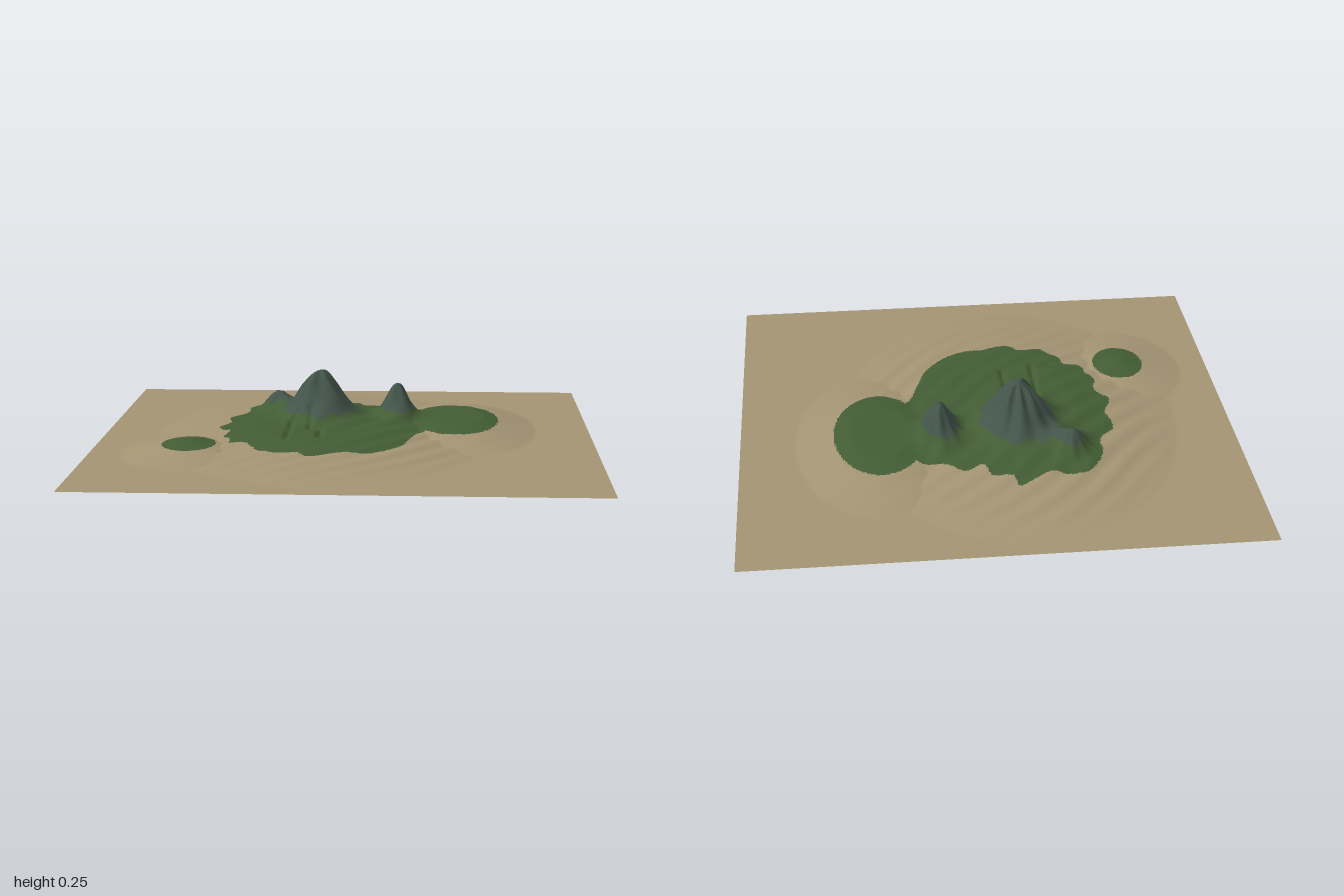
import * as THREE from 'three';

const SEGMENTS = 250;

// Island shelves: centre, foot radii, slope height, cap height
const shelves = [
  { x: -0.1, z: -0.02, rx: 0.68, rz: 0.91, slope: 0.09, cap: 0.054, ripple: 1 },
  { x: 0.44, z: -0.17, rx: 0.34, rz: 0.55, slope: 0.085, cap: 0.055, ripple: 0.25 },
  { x: -0.61, z: 0.33, rx: 0.27, rz: 0.33, slope: 0.055, cap: 0.05, ripple: 0 },
];

// Peaks: centre, height above the shelf, spread
const peaks = [
  { x: -0.12, z: -0.16, h: 0.188, sx: 0.078, sz: 0.105 },
  { x: 0.205, z: -0.2, h: 0.138, sx: 0.044, sz: 0.072 },
  { x: -0.31, z: -0.35, h: 0.072, sx: 0.048, sz: 0.056 },
];

// Stream beds cut into the grass
const streams = [
  [[-0.2, -0.03], [-0.225, 0.02], [-0.23, 0.32], [-0.31, 0.33]],
  [[-0.15, -0.02], [-0.145, 0.13], [-0.1, 0.135], [-0.1, 0.27]],
];

// Wavy outline of the main grass area
const outline = new THREE.CatmullRomCurve3([
  [-0.08, -0.59], [-0.06, -0.53], [0.02, -0.51], [0.05, -0.44], [0.12, -0.47], [0.2, -0.41],
  [0.28, -0.4], [0.36, -0.3], [0.36, 0], [0.3, 0.1], [0.26, 0.22], [0.22, 0.34],
  [0.1, 0.47], [-0.03, 0.49], [-0.13, 0.53], [-0.19, 0.48], [-0.28, 0.48], [-0.36, 0.39],
  [-0.38, 0.33], [-0.45, 0.31], [-0.46, 0.24], [-0.49, 0.2], [-0.47, 0.1], [-0.525, 0.03],
  [-0.49, -0.08], [-0.505, -0.2], [-0.44, -0.28], [-0.43, -0.4], [-0.35, -0.52],
  [-0.28, -0.53], [-0.22, -0.51], [-0.15, -0.55],
].map(([x, z]) => new THREE.Vector3(x, 0, z)), true).getPoints(160);

function insideOutline(x, z) {
  let inside = false;
  for (let i = 0, j = outline.length - 1; i < outline.length; j = i++) {
    const a = outline[i], b = outline[j];
    if ((a.z > z) !== (b.z > z) && x < ((b.x - a.x) * (z - a.z)) / (b.z - a.z) + a.x) inside = !inside;
  }
  return inside;
}

const insideEllipse = (x, z, cx, cz, rx, rz) => ((x - cx) / rx) ** 2 + ((z - cz) / rz) ** 2 < 1;

function isGrass(x, z) {
  return insideEllipse(x, z, -0.61, 0.33, 0.106, 0.132)
    || insideEllipse(x, z, 0.44, -0.17, 0.185, 0.302)
    || insideOutline(x, z);
}

function streamDistance(x, z) {
  let best = 1;
  for (const path of streams) {
    for (let i = 1; i < path.length; i++) {
      const [ax, az] = path[i - 1], [bx, bz] = path[i];
      const dx = bx - ax, dz = bz - az;
      const t = THREE.MathUtils.clamp(((x - ax) * dx + (z - az) * dz) / (dx * dx + dz * dz), 0, 1);
      best = Math.min(best, Math.hypot(x - ax - dx * t, z - az - dz * t));
    }
  }
  return best;
}

function height(x, z) {
  let ground = 0;
  let ripple = 0;
  for (const s of shelves) {
    const d = Math.hypot((x - s.x) / s.rx, (z - s.z) / s.rz);
    const raw = s.slope * (1 - d);
    const h = raw < s.cap ? raw : s.cap + (raw - s.cap) * 0.08;
    if (h > ground) {
      ground = h;
      ripple = s.ripple;
    }
  }
  if (ground <= 0) return 0;

  // Diagonal sand ripples, bent slightly
  const wave = Math.sin(44 * (x + z) + 2 * Math.sin(4 * (x - z)));
  let y = ground + 0.0032 * wave * ripple * Math.min(1, ground / 0.02);

  // Peaks with shallow ravines down their sides
  for (const p of peaks) {
    const dx = x - p.x, dz = z - p.z;
    const g = Math.exp(-0.5 * ((dx / p.sx) ** 2 + (dz / p.sz) ** 2));
    const away = Math.min(1, Math.hypot(dx, dz) / 0.08);
    const ravine = 0.11 * away * Math.sin(7 * Math.atan2(dz, dx) + 30 * dx);
    y += p.h * g * (1 + ravine);
  }
  y -= 0.012 * Math.exp(-((streamDistance(x, z) / 0.011) ** 2));
  return Math.max(0, y);
}

function createTerrain(materials) {
  const geometry = new THREE.PlaneGeometry(2, 2, SEGMENTS, SEGMENTS).rotateX(-Math.PI / 2);
  const pos = geometry.attributes.position;
  for (let i = 0; i < pos.count; i++) pos.setY(i, height(pos.getX(i), pos.getZ(i)));

  // Sort the faces into sand, grass and rock
  const faces = [[], [], []];
  const index = geometry.index.array;
  for (let i = 0; i < index.length; i += 3) {
    const [a, b, c] = [index[i], index[i + 1], index[i + 2]];
    const x = (pos.getX(a) + pos.getX(b) + pos.getX(c)) / 3;
    const y = (pos.getY(a) + pos.getY(b) + pos.getY(c)) / 3;
    const z = (pos.getZ(a) + pos.getZ(b) + pos.getZ(c)) / 3;
    const kind = y > 0.085 + 0.006 * Math.sin(60 * x - 45 * z) ? 2 : isGrass(x, z) ? 1 : 0;
    faces[kind].push(a, b, c);
  }
  geometry.setIndex(faces.flat());
  let start = 0;
  faces.forEach((list, i) => {
    geometry.addGroup(start, list.length, i);
    start += list.length;
  });
  geometry.computeVertexNormals();
  const mesh = new THREE.Mesh(geometry, materials);
  mesh.name = 'islandTerrain';
  return mesh;
}

export function createModel() {
  const materials = [['sand', 0xa39473], ['grass', 0x435d35], ['rock', 0x43554b]].map(([name, color]) => {
    const material = new THREE.MeshStandardMaterial({ color, side: THREE.DoubleSide });
    material.name = name;
    return material;
  });
  const group = new THREE.Group();
  group.name = 'island';
  group.add(createTerrain(materials));
  return group;
}
